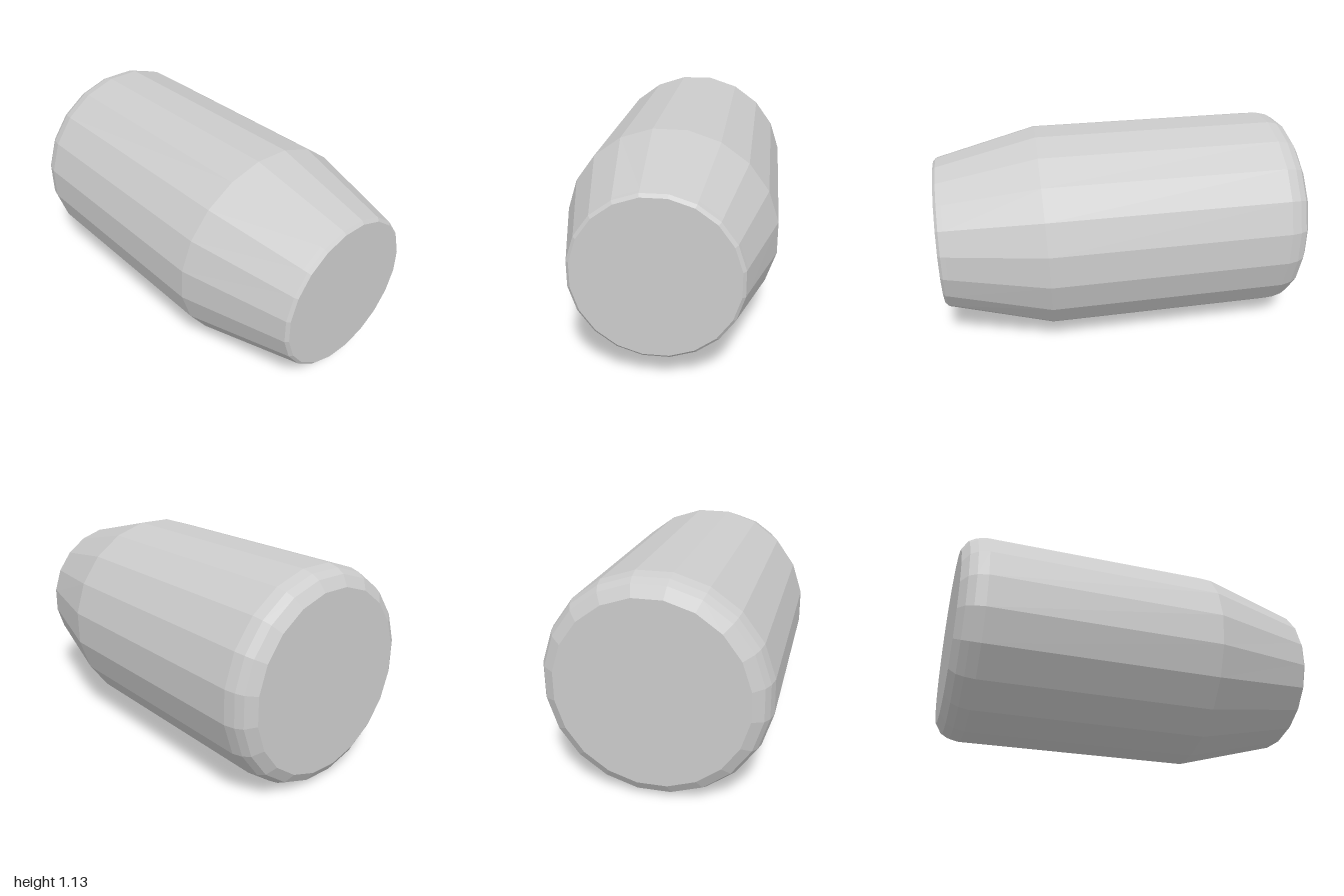
import * as THREE from 'three';

const SIDES = 20;
const RADIUS = 0.565; // distance from the axis to the middle of a facet

export function createModel() {
  const group = new THREE.Group();
  group.name = 'taperedCylinder';

  // Profile from back cap to front cap: [facet radius, z]
  const profile = [
    [0, -1], [0.475, -1], [0.53, -0.965], [0.552, -0.925], [RADIUS, -0.87],
    [RADIUS, 0.42], [0.425, 0.96], [0.419, 0.985], [0.403, 1], [0, 1],
  ];
  const toCorner = 1 / Math.cos(Math.PI / SIDES);
  const points = profile.map(([r, z]) => new THREE.Vector2(r * toCorner, z));

  // Half-step start puts flat facets at the top, bottom and both sides
  const geometry = new THREE.LatheGeometry(points, SIDES, Math.PI / SIDES);
  geometry.rotateX(Math.PI / 2);

  // Shoulder leans slightly and the nose sits a touch off the axis
  const pos = geometry.attributes.position;
  for (let i = 0; i < pos.count; i++) {
    const x = pos.getX(i), y = pos.getY(i), z = pos.getZ(i);
    if (z > 0.9) pos.setXYZ(i, x + 0.004, y + 0.008, z);
    else if (z > 0) pos.setZ(i, z + 0.04 * x + 0.04 * y);
  }
  geometry.computeVertexNormals();

  const body = new THREE.Mesh(
    geometry,
    new THREE.MeshStandardMaterial({ color: 0xcccccc, flatShading: true }),
  );
  body.name = 'body';
  body.position.y = RADIUS;
  group.add(body);
  return group;
}
